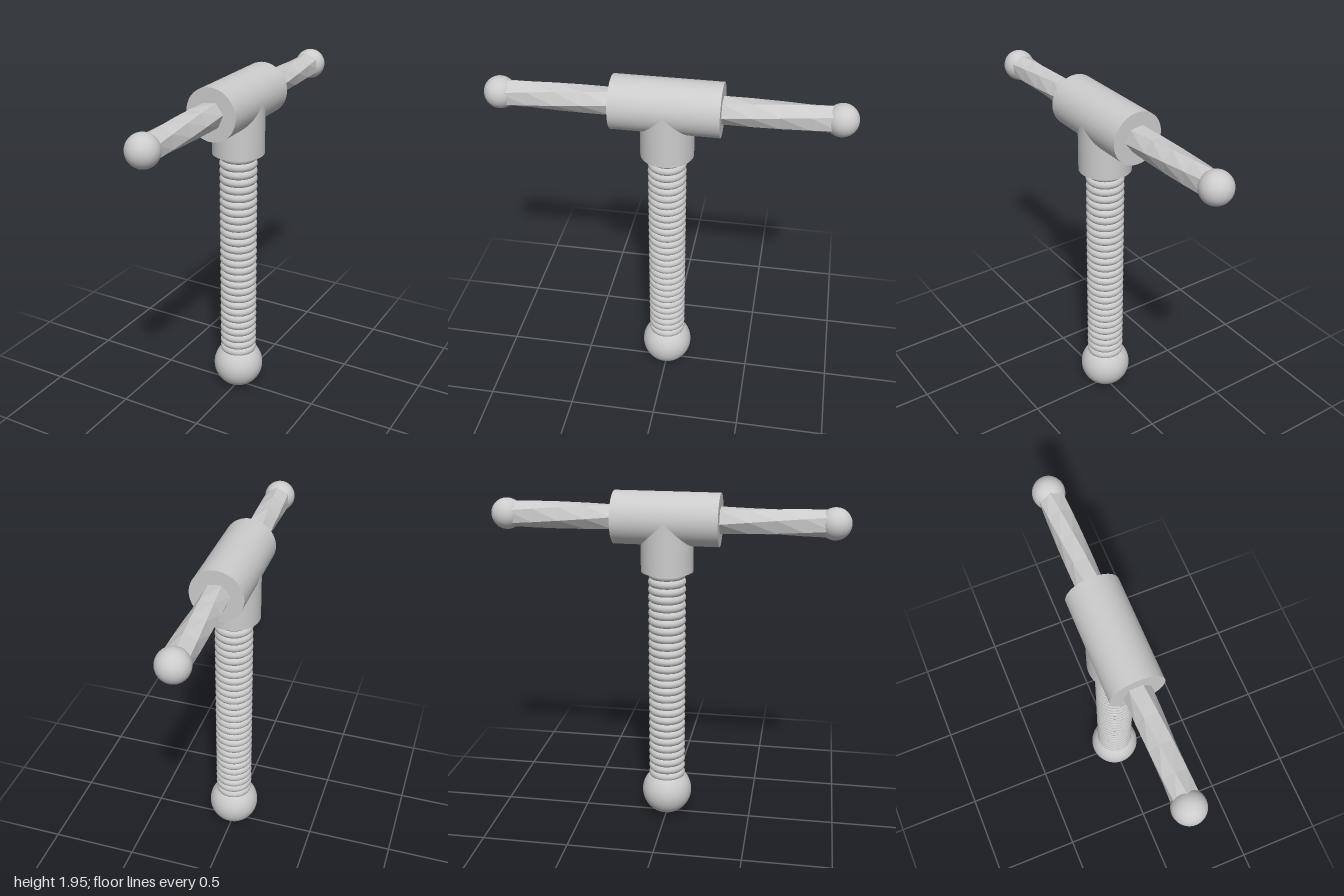
import * as THREE from 'three';

export function createModel() {
  const group = new THREE.Group();
  const smooth = new THREE.MeshStandardMaterial({ color: 0xcccccc });
  const faceted = new THREE.MeshStandardMaterial({ color: 0xcccccc, flatShading: true });
  const axisY = 1.805;

  const add = (name, geometry, material, x = 0, y = 0, z = 0) => {
    const mesh = new THREE.Mesh(geometry, material);
    mesh.name = name;
    mesh.position.set(x, y, z);
    group.add(mesh);
    return mesh;
  };

  // Ball foot
  add('footBall', new THREE.SphereGeometry(0.147, 48, 32), smooth, 0, 0.147, 0);

  // Threaded shaft: a core wrapped by evenly stacked rounded ridges
  const pitch = 0.0455, bottom = 0.22, ridges = 29;
  add('shaftCore', new THREE.CylinderGeometry(0.09, 0.09, 1.4, 32), smooth, 0, 0.9, 0);
  for (let i = 0; i < ridges; i++) {
    const ridge = new THREE.TorusGeometry(0.082, 0.026, 12, 40);
    ridge.rotateX(Math.PI / 2);
    add('threadRidge', ridge, smooth, 0, bottom + i * pitch, 0);
  }

  // Tee head: upright socket meeting a horizontal sleeve of equal radius
  add('socket', new THREE.CylinderGeometry(0.147, 0.147, 0.295, 64), smooth, 0, 1.6575, 0);
  const sleeve = new THREE.CylinderGeometry(0.147, 0.147, 0.59, 64);
  sleeve.rotateX(Math.PI / 2);
  add('sleeve', sleeve, smooth, 0, axisY, 0);

  // Twisted six-sided handle bar running through the sleeve
  const bar = new THREE.CylinderGeometry(0.075, 0.075, 1.8, 6, 12);
  bar.rotateX(Math.PI / 2);
  const p = bar.attributes.position, v = new THREE.Vector3(), forward = new THREE.Vector3(0, 0, 1);
  for (let i = 0; i < p.count; i++) {
    v.fromBufferAttribute(p, i);
    v.applyAxisAngle(forward, -1.3 * v.z);
    p.setXYZ(i, v.x, v.y, v.z);
  }
  bar.computeVertexNormals();
  add('twistedHandle', bar, faceted, 0, axisY, 0);

  // Ball ends of the handle
  for (const side of [1, -1]) {
    add(side > 0 ? 'frontHandleBall' : 'backHandleBall',
      new THREE.SphereGeometry(0.088, 40, 28), smooth, 0, axisY, side * 0.912);
  }

  return group;
}
